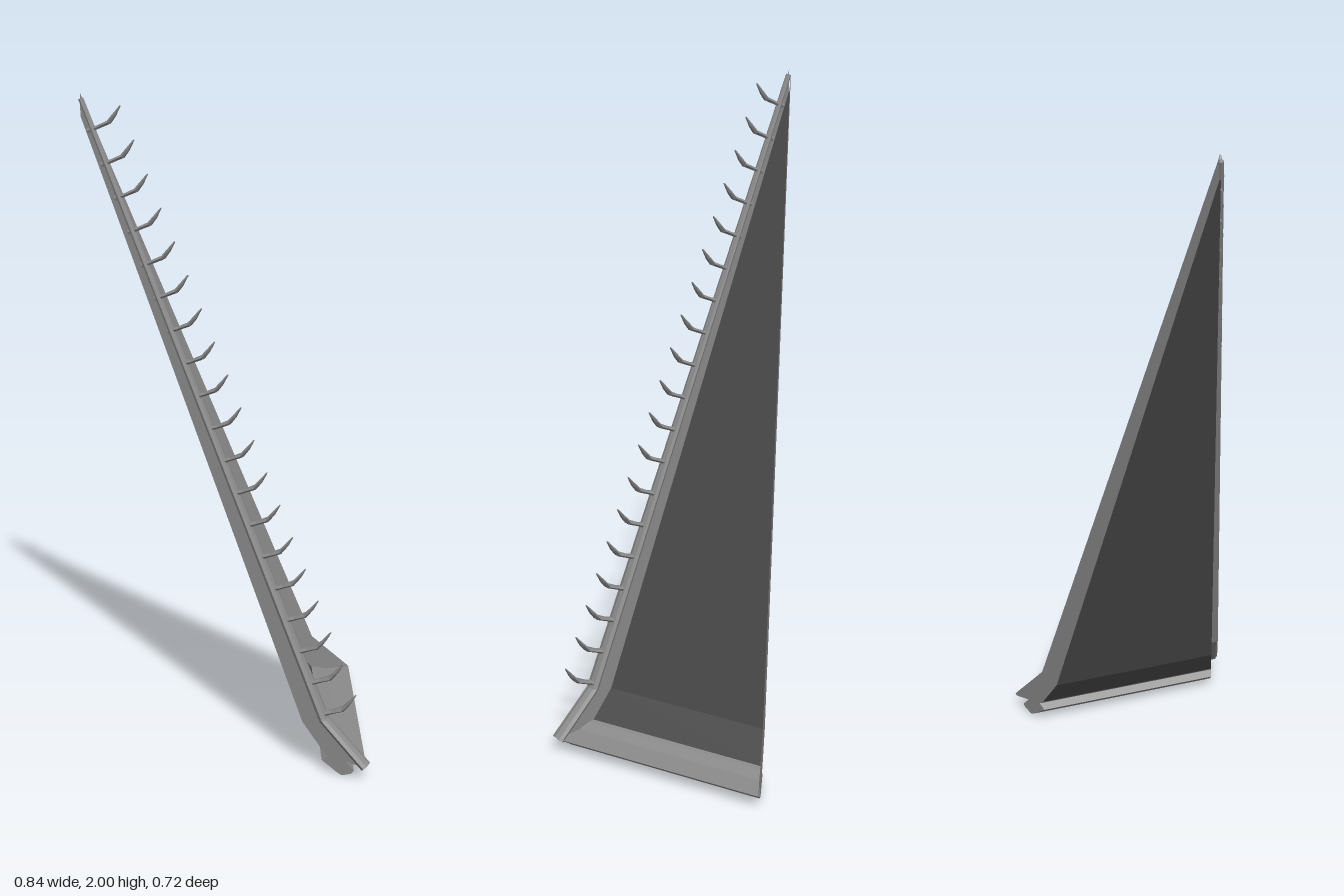
import * as THREE from 'three';

const AXIS_X = -0.42, AXIS_Z = -0.01;   // vertical axis of the spire
const SLOPE = 0.42;                     // half width per unit of distance from the axis
const ANGLE = Math.atan(SLOPE);

// Wedge edge position for a profile point; side is +1 or -1
const edge = ([x, y], side) => [x, y, AXIS_Z + side * SLOPE * (x - AXIS_X)];

// Surface spanning the wedge from edge to edge along a profile
function wedgeStrip(profile) {
  const pos = [];
  for (let i = 0; i < profile.length - 1; i++) {
    const a = edge(profile[i], 1), b = edge(profile[i], -1);
    const c = edge(profile[i + 1], -1), d = edge(profile[i + 1], 1);
    pos.push(...a, ...d, ...c, ...a, ...c, ...b);
  }
  const g = new THREE.BufferGeometry();
  g.setAttribute('position', new THREE.Float32BufferAttribute(pos, 3));
  g.computeVertexNormals();
  return g;
}

// Flat plate standing in the radial plane of one wedge edge
function radialPlate(outline, side) {
  const g = new THREE.ShapeGeometry(new THREE.Shape(outline.map(p => new THREE.Vector2(...p))));
  const p = g.attributes.position;
  for (let i = 0; i < p.count; i++) p.setXYZ(i, ...edge([p.getX(i), p.getY(i)], side));
  g.computeVertexNormals();
  return g;
}

// Faceted bar through stations [radius, y, halfWidth, halfThickness]
function sweep(stations, sides) {
  const n = stations.length - 1;
  const g = new THREE.CylinderGeometry(1, 1, 1, sides, n);
  const p = g.attributes.position;
  for (let i = 0; i < p.count; i++) {
    const k = Math.round((p.getY(i) + 0.5) * n);
    const [r, y, w, t] = stations[k];
    const a = stations[Math.max(0, k - 1)], b = stations[Math.min(n, k + 1)];
    const len = Math.hypot(b[0] - a[0], b[1] - a[1]);
    const tr = (b[0] - a[0]) / len, ty = (b[1] - a[1]) / len;
    const s = p.getX(i) * t;
    p.setXYZ(i, r + ty * s, y - tr * s, p.getZ(i) * w);
  }
  const flat = g.toNonIndexed();
  flat.computeVertexNormals();
  return flat;
}

export function createModel() {
  const stone = new THREE.MeshStandardMaterial({ color: 0x8a8a8a, side: THREE.DoubleSide });
  const slate = new THREE.MeshStandardMaterial({ color: 0x484848, side: THREE.DoubleSide });
  const model = new THREE.Group();
  model.name = 'spireSegment';
  const add = (parent, name, geometry, material) => {
    const mesh = new THREE.Mesh(geometry, material);
    mesh.name = name;
    parent.add(mesh);
    return mesh;
  };

  // Recessed roof face
  const inner = [[-0.415, 1.935], [0.222, 0.157], [0.285, 0.07]];
  add(model, 'roofPanel', wedgeStrip(inner), slate);

  // Foot moulding: sloping lip above, roll below
  const foot = [[0.285, 0.07], [0.3, 0.068], [0.335, 0.054], [0.365, 0.051], [0.41, 0.048],
    [0.405, 0.042], [0.35, 0.05], [0.374, 0.025], [0.366, 0.014], [0.34, 0.003],
    [0.328, 0.008], [0.28, 0.042], [0.3, 0.058], [0.285, 0.07]];
  add(model, 'footMoulding', wedgeStrip(foot), stone);

  // Side flanges, flared at the foot
  const outer = [[0.41, 0.048], [0.285, 0.18], [-0.415, 2]];
  const flange = [...inner, ...foot.slice(1, 4), ...outer];
  for (const side of [-1, 1]) {
    const label = side > 0 ? 'front' : 'back';
    add(model, label + 'Flange', radialPlate(flange, side), stone);
    add(model, label + 'MouldingEnd', radialPlate(foot.slice(0, -1), side), stone);
  }

  // Corner rib and its crockets, built along the radial plane
  const corner = new THREE.Group();
  corner.name = 'cornerRib';
  corner.position.set(AXIS_X, 0, AXIS_Z);
  corner.rotation.y = -ANGLE;
  model.add(corner);
  const radius = x => (x - AXIS_X) / Math.cos(ANGLE);

  add(corner, 'rib', sweep([
    [radius(0.408), 0.047, 0.023, 0.015],
    [radius(0.285), 0.18, 0.022, 0.015],
    [radius(-0.413), 1.985, 0.008, 0.008]], 8), stone);

  const COUNT = 19;
  for (let i = 0; i < COUNT; i++) {
    const w = 0.011 + 0.012 * i / (COUNT - 1);
    const crocket = add(corner, 'crocket', sweep([
      [-0.01, -0.006, w * 0.6, 0.009],
      [0.022, 0.007, w * 0.6, 0.006],
      [0.056, 0.023, w, 0.007],
      [0.072, 0.043, w * 0.8, 0.006],
      [0.092, 0.072, w * 0.2, 0.002]], 6), stone);
    crocket.position.set(radius(-0.385 + 0.0375 * i), 1.9 - 0.0943 * i, 0);
  }
  return model;
}
